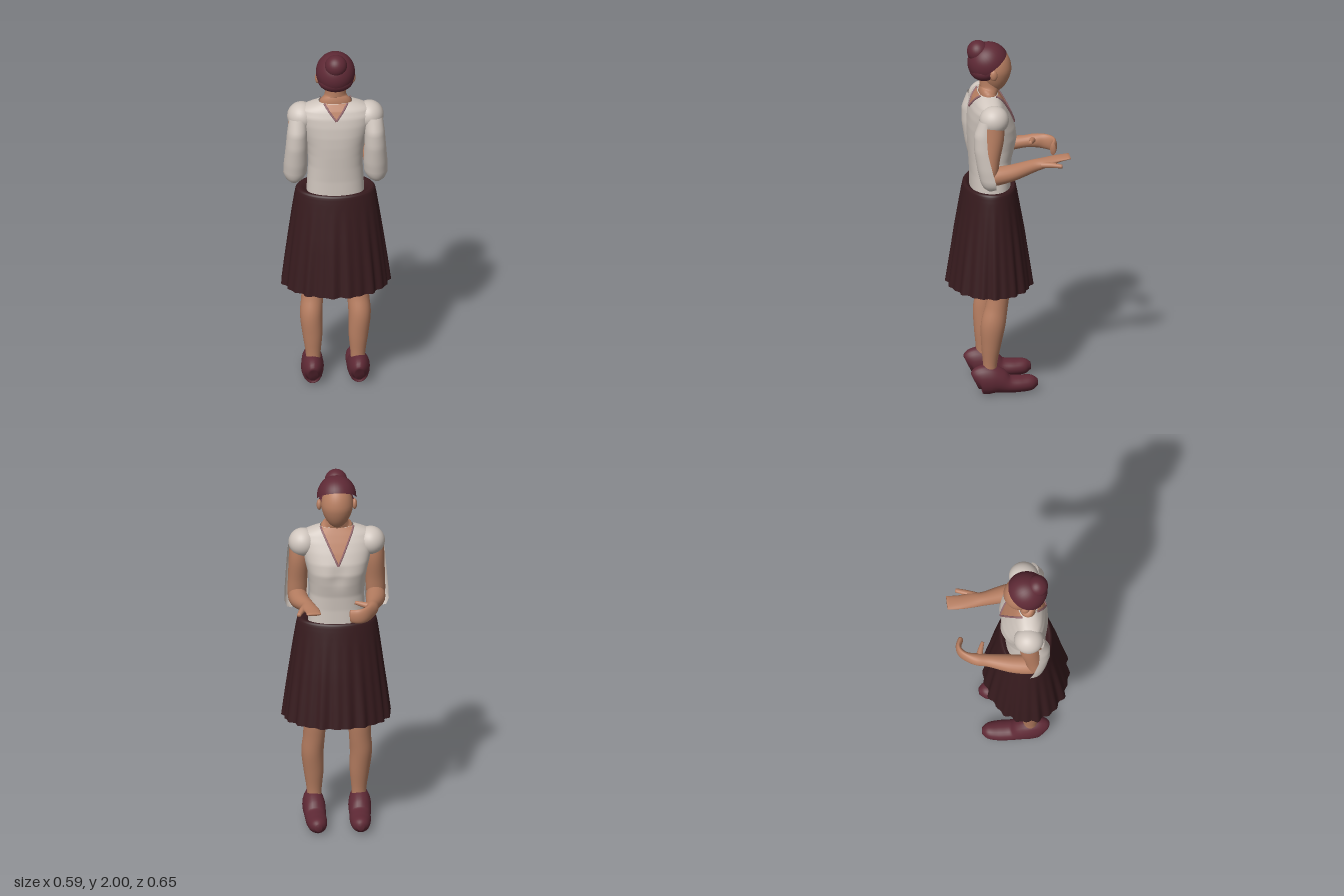
import * as THREE from 'three';
import { mergeVertices } from 'three/addons/utils/BufferGeometryUtils.js';

const mat = (name, color, side = THREE.FrontSide) => {
  const m = new THREE.MeshStandardMaterial({ color, side });
  m.name = name;
  return m;
};

// Surface from a rule f(u, v) -> [x, y, z]; the front lies on the v x u side
function grid(f, nu, nv) {
  const pos = [], idx = [], w = nu + 1;
  for (let j = 0; j <= nv; j++) for (let i = 0; i <= nu; i++) pos.push(...f(i / nu, j / nv));
  for (let j = 0; j < nv; j++) for (let i = 0; i < nu; i++) {
    const a = j * w + i;
    idx.push(a, a + w, a + 1, a + 1, a + w, a + w + 1);
  }
  let g = new THREE.BufferGeometry();
  g.setAttribute('position', new THREE.Float32BufferAttribute(pos, 3));
  g.setIndex(idx);
  g = mergeVertices(g, 1e-5);
  g.computeVertexNormals();
  return g;
}

// Closed limb through sections [x, y, z, radius across, radius along ref]
function limb(sections, ref, minY = -1) {
  const path = new THREE.CatmullRomCurve3(sections.map(s => new THREE.Vector3(s[0], s[1], s[2])), false, 'catmullrom');
  const radii = new THREE.CatmullRomCurve3(sections.map(s => new THREE.Vector3(s[3], s[4], 0)), false, 'catmullrom');
  const n = sections.length * 5;
  return grid((u, v) => {
    const k = Math.min(1, Math.max(0, (v * (n + 2) - 1) / n));
    const cap = v === 0 || v === 1 ? 0 : 1;
    const c = path.getPoint(k), r = radii.getPoint(k), t = path.getTangent(k);
    const s = new THREE.Vector3().crossVectors(t, ref).normalize();
    const b = new THREE.Vector3().crossVectors(s, t);
    const a = u * Math.PI * 2;
    c.addScaledVector(s, Math.cos(a) * r.x * cap).addScaledVector(b, Math.sin(a) * r.y * cap);
    return [c.x, Math.max(minY, c.y), c.z];
  }, 24, n + 2);
}

// Linear lookup in rows sorted by their first value
function lookup(rows, y) {
  let i = 0;
  while (i < rows.length - 2 && y > rows[i + 1][0]) i++;
  const a = rows[i], b = rows[i + 1], k = THREE.MathUtils.clamp((y - a[0]) / (b[0] - a[0]), 0, 1);
  return a.map((q, j) => q + (b[j] - q) * k);
}

// Torso: height, half width, front z, back z
const TORSO = [
  [1.15, .155, -.02, .195], [1.25, .15, -.02, .195], [1.33, .145, -.027, .2], [1.4, .15, -.045, .205],
  [1.46, .16, -.056, .208], [1.52, .175, -.045, .208], [1.58, .19, -.02, .203], [1.63, .2, .005, .193],
  [1.67, .185, .028, .175], [1.692, .135, .042, .158], [1.705, .09, .05, .148]];
const POW = 2.4;
function torsoZ(x, y, back) {
  const [, hw, zf, zb] = lookup(TORSO, y), c = (zf + zb) / 2, d = (zb - zf) / 2;
  const e = d * Math.pow(Math.max(0, 1 - Math.pow(Math.min(1, Math.abs(x) / hw), POW)), 1 / POW);
  const dip = .013 * Math.exp(-((x / .04) ** 2) - ((y - 1.45) / .06) ** 2);
  return back ? c + e : c - e + dip * (e / d);
}

// Sleeve shell behind the arm: height, centre x, half width, edge z, back z
const SHELL = [
  [1.222, .222, .02, .115, .135], [1.235, .22, .045, .092, .155], [1.27, .217, .063, .095, .172], [1.34, .214, .064, .115, .188],
  [1.45, .211, .058, .14, .205], [1.54, .208, .054, .145, .205], [1.62, .205, .046, .14, .175]];

// Skirt profile from hem to inner waist: height, x radius, z radius
const SKIRT = [[.61, .288, .228], [.75, .272, .209], [.9, .253, .188], [1.05, .233, .163], [1.13, .221, .149],
  [1.17, .213, .141], [1.182, .203, .132], [1.178, .18, .12], [1.16, .15, .1]];

export function createModel() {
  const root = new THREE.Group();
  root.name = 'standingWoman';
  const skin = mat('skin', 0xb87f62), hair = mat('burgundy', 0x5e2935);
  const shirt = mat('cream', 0xd0c6be, THREE.DoubleSide);
  const skirt = mat('darkMaroon', 0x371b1e, THREE.DoubleSide), trim = mat('pinkTrim', 0x96696f);
  const X = new THREE.Vector3(0, 1, 0), Z = new THREE.Vector3(0, 0, 1);
  const add = (name, geo, m) => {
    const o = new THREE.Mesh(geo, m);
    o.name = name;
    root.add(o);
    return o;
  };
  const ball = (name, m, x, y, z, rx, ry, rz) => {
    const o = add(name, new THREE.SphereGeometry(1, 32, 20), m);
    o.position.set(x, y, z);
    o.scale.set(rx, ry, rz);
    return o;
  };

  // Blouse body
  add('blouse', grid((u, v) => {
    const a = u * Math.PI * 2, y = 1.15 + v * .555, c = Math.cos(a);
    const x = lookup(TORSO, y)[1] * Math.sign(c) * Math.pow(Math.abs(c), 2 / POW);
    return [x, y, torsoZ(x, y, Math.sin(a) > 0)];
  }, 72, 60), shirt);

  // V necklines with trim, front and back
  for (const [name, back, tip, w] of [['front', false, 1.515, .088], ['back', true, 1.622, .062]]) {
    const top = 1.703, s = back ? 1 : -1;
    const at = (k, y, off) => {
      const x = -s * k * w * (y - tip) / (top - tip);
      return [x, y + off * .8, torsoZ(x, y, back) + s * off];
    };
    add(name + 'Neckline', grid((u, v) => at(u * 2 - 1, tip + v * (top - tip), .004), 16, 24), skin);
    for (const k of [-1, 1]) {
      const pts = [];
      for (let i = 0; i <= 10; i++) pts.push(new THREE.Vector3(...at(k, tip + (top - tip) * i / 10, .004)));
      add(name + 'CollarTrim', new THREE.TubeGeometry(new THREE.CatmullRomCurve3(pts), 20, .0055, 6), trim);
    }
  }

  // Skirt with pleats that deepen toward the hem
  add('skirt', grid((u, v) => {
    const a = u * Math.PI * 2, q = v * (SKIRT.length - 1), i = Math.min(SKIRT.length - 2, Math.floor(q)), k = q - i;
    const [y, rx, rz] = SKIRT[i].map((p, j) => p + (SKIRT[i + 1][j] - p) * k);
    const depth = Math.max(0, (1.12 - y) / .51);
    const f = depth * (.006 * Math.sin(24 * a) + .005 * Math.sin(15 * a + 1));
    return [Math.cos(a) * (rx + f), y, .09 + Math.sin(a) * (rz + f)];
  }, 144, 24), skirt);

  // Head, neck, hair and bun
  add('neck', limb([[0, 1.65, .1, .08, .045], [0, 1.705, .098, .085, .05], [0, 1.74, .088, .058, .054], [0, 1.83, .085, .058, .06]], Z), skin);
  const head = new THREE.SphereGeometry(1, 32, 24), p = head.attributes.position;
  for (let i = 0; i < p.count; i++) {
    const y = p.getY(i), jaw = y < 0 ? 1 + .18 * y : 1;
    p.setXYZ(i, p.getX(i) * .086 * jaw, y * .125, p.getZ(i) * .088 * jaw);
  }
  head.computeVertexNormals();
  add('head', head, skin).position.set(0, 1.832, .058);
  const cap = add('hair', new THREE.SphereGeometry(.112, 36, 20, 0, Math.PI * 2, 0, 1.7), hair);
  cap.position.set(0, 1.873, .095);
  cap.rotation.x = .62;
  cap.scale.x = .94;
  ball('hairNape', hair, 0, 1.835, .12, .095, .06, .078);
  ball('bun', hair, 0, 1.94, .152, .06, .06, .058);

  for (const s of [-1, 1]) {
    ball('ear', skin, s * .095, 1.83, .08, .014, .03, .02);
    // Puffed short sleeve and the loose shell behind the elbow
    ball('sleeveCap', shirt, s * .182, 1.61, .093, .077, .077, .08);
    add('sleeveShell', grid((u, v) => {
      const [y, cx, r, ze, zb] = lookup(SHELL, 1.222 + v * .398), a = u * Math.PI;
      return [s * cx + Math.cos(a) * r, y, ze + Math.sin(a) * (zb - ze)];
    }, 20, 24), shirt);
    add('upperArm', limb([[s * .2, 1.62, .1, .05, .055], [s * .203, 1.52, .1, .054, .058], [s * .208, 1.4, .115, .052, .05],
      [s * .212, 1.3, .125, .05, .045], [s * .212, 1.265, .125, .03, .025]], Z), skin);
    // Legs and shoes
    add('leg', limb([[s * .12, .08, .105, .036, .036], [s * .12, .17, .105, .04, .038], [s * .123, .28, .1, .053, .053],
      [s * .13, .4, .09, .06, .066], [s * .123, .5, .07, .059, .06], [s * .12, .6, .058, .063, .06],
      [s * .12, .8, .06, .075, .075], [s * .11, 1, .08, .08, .08]], Z), skin);
    add('shoe', limb([[s * .124, .07, .185, .025, .045], [s * .124, .082, .16, .05, .077], [s * .124, .083, .11, .06, .084],
      [s * .122, .073, .065, .061, .073], [s * .12, .05, .01, .057, .05], [s * .117, .045, -.06, .056, .045],
      [s * .115, .046, -.12, .045, .041], [s * .113, .046, -.153, .018, .02]], X, 0), hair);
  }

  // Open hand, held out flat
  add('openForearm', limb([[.212, 1.29, .145, .035, .035], [.21, 1.293, .1, .051, .05], [.2, 1.305, 0, .05, .044],
    [.172, 1.326, -.12, .038, .034], [.165, 1.337, -.18, .042, .026], [.153, 1.35, -.25, .04, .016],
    [.15, 1.36, -.322, .039, .008]], X), skin);
  add('openThumb', limb([[.185, 1.335, -.16, .022, .018], [.208, 1.338, -.215, .016, .015], [.228, 1.335, -.27, .011, .01]], X), skin);

  // Cupped hand, curling inward
  add('cuppedForearm', limb([[-.212, 1.29, .145, .035, .035], [-.21, 1.293, .1, .051, .05], [-.2, 1.305, 0, .05, .044],
    [-.18, 1.322, -.12, .035, .034], [-.17, 1.328, -.185, .033, .038], [-.153, 1.327, -.235, .022, .042],
    [-.125, 1.325, -.268, .018, .042], [-.09, 1.323, -.278, .015, .04], [-.05, 1.32, -.264, .015, .036]], X), skin);
  add('cuppedThumb', limb([[-.17, 1.335, -.175, .02, .02], [-.12, 1.345, -.161, .014, .014], [-.083, 1.35, -.147, .009, .01]], X), skin);
  return root;
}
